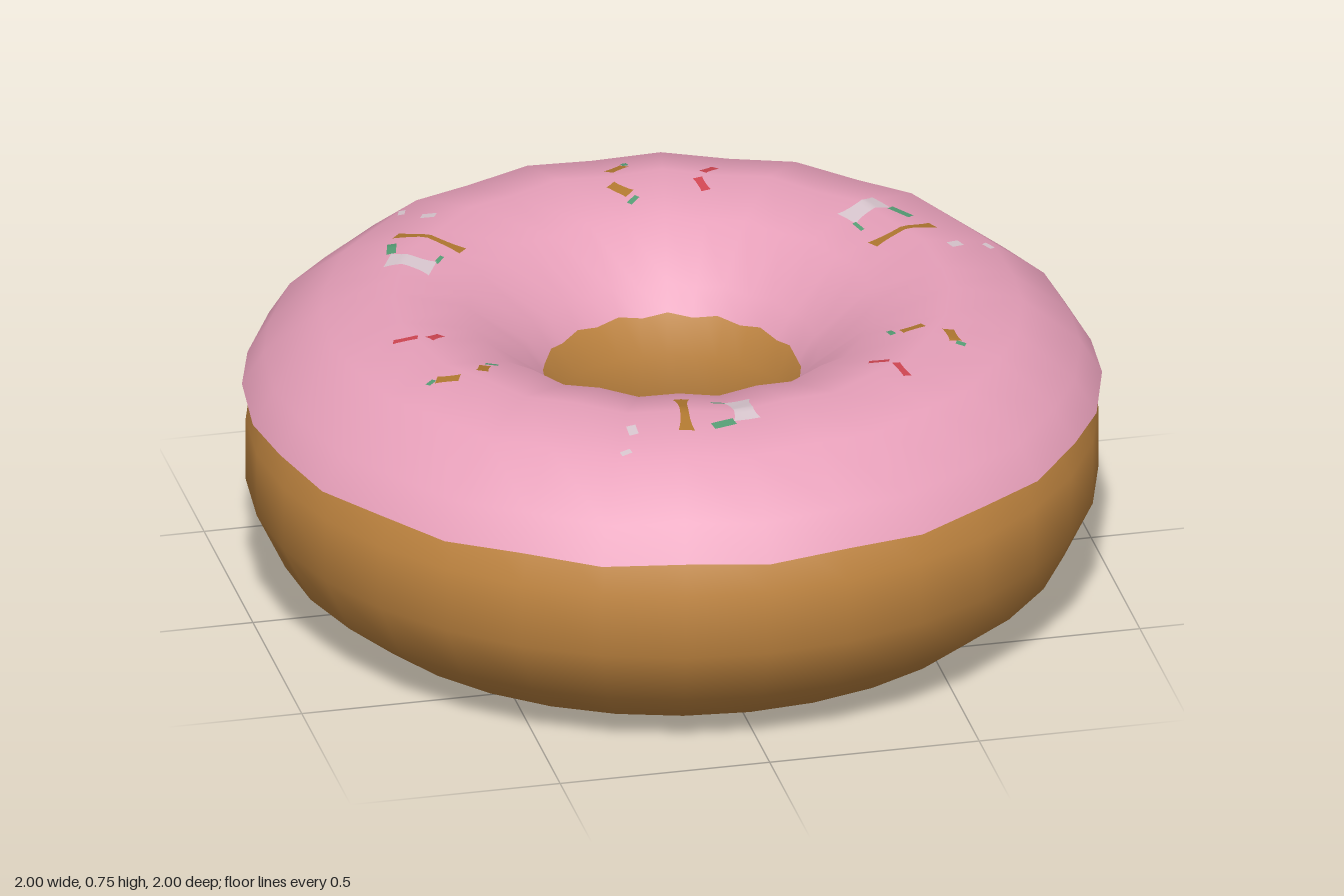
import * as THREE from 'three';

const SEG = 32;        // segments around the ring
const SIDES = 14;      // sides of the tube
const RING = 0.645;    // tube centre radius
const MID = 0.355;     // tube centre height
const STEP = (Math.PI * 2) / SEG;

const mat = (name, color, side = THREE.FrontSide) => {
  const m = new THREE.MeshStandardMaterial({ color, side });
  m.name = name;
  return m;
};

const ringPoint = (r, k) => {
  const a = Math.PI / 2 + (k * Math.PI * 2) / SIDES;
  return new THREE.Vector2(RING + r * Math.cos(a), MID + r * Math.sin(a));
};

// Icing cross-section from the outer rim over the top to the inner rim
const icingProfile = [
  new THREE.Vector2(1.0, 0.516),
  ...[-2, -1, 0, 1, 2].map((k) => ringPoint(0.389, k)),
  new THREE.Vector2(0.3, 0.54),
];

// Every second segment of the icing dips a little
const WAVE = 0.006;
function wavyLathe(points) {
  const geo = new THREE.LatheGeometry(points, SEG);
  const p = geo.attributes.position;
  for (let i = 0; i < p.count; i++) {
    const j = Math.floor(i / points.length);
    p.setY(i, p.getY(i) + (j % 2 ? WAVE : -WAVE));
  }
  return geo;
}

// Height of the icing surface at x, z
function icingHeight(x, z) {
  let a = Math.atan2(x, z) / STEP;
  if (a < 0) a += SEG;
  const j = Math.floor(a), f = a - j;
  const r = (Math.hypot(x, z) * Math.cos((f - 0.5) * STEP)) / Math.cos(STEP / 2);
  const wave = WAVE * (2 * f - 1) * (j % 2 ? -1 : 1);
  for (let i = 0; i < icingProfile.length - 1; i++) {
    const p = icingProfile[i], q = icingProfile[i + 1];
    if (r <= p.x && r >= q.x) return p.y + ((q.y - p.y) * (p.x - r)) / (p.x - q.x) + wave;
  }
  return MID;
}

// Thin strip draped on the icing; ends flare by the given amount
function sprinkle(x0, z0, x1, z1, width, flare, turn) {
  const N = 8, pos = [], idx = [];
  const len = Math.hypot(x1 - x0, z1 - z0);
  const nx = -(z1 - z0) / len, nz = (x1 - x0) / len;
  const c = Math.cos(turn), s = Math.sin(turn);
  for (let i = 0; i <= N; i++) {
    const t = i / N;
    const half = (width / 2) * (1 + flare * Math.pow(Math.abs(2 * t - 1), 3));
    for (const w of [-half, 0, half]) {
      const x = x0 + (x1 - x0) * t + nx * w, z = z0 + (z1 - z0) * t + nz * w;
      const rx = x * c + z * s, rz = z * c - x * s;
      pos.push(rx, icingHeight(rx, rz) + 0.004, rz);
    }
    if (i < N) for (const k of [0, 1]) {
      const a = i * 3 + k;
      idx.push(a, a + 1, a + 3, a + 1, a + 4, a + 3);
    }
  }
  const geo = new THREE.BufferGeometry();
  geo.setAttribute('position', new THREE.Float32BufferAttribute(pos, 3));
  geo.setIndex(idx);
  geo.computeVertexNormals();
  return geo;
}

export function createModel() {
  const model = new THREE.Group();
  model.name = 'ringCake';
  const add = (name, geo, material) => {
    const mesh = new THREE.Mesh(geo, material);
    mesh.name = name;
    model.add(mesh);
  };

  // Dough: a full ring, its seam hidden under the icing
  const doughProfile = Array.from({ length: SIDES + 1 }, (_, k) => ringPoint(0.355, k));
  add('dough', new THREE.LatheGeometry(doughProfile, SEG), mat('doughBrown', 0xc08540));

  // Icing cap and the underside of its overhang
  const pink = mat('icingPink', 0xe69fb9, THREE.DoubleSide);
  add('icing', wavyLathe(icingProfile), pink);
  add('icingLip', wavyLathe([new THREE.Vector2(0.93, 0.53), icingProfile[0]]), pink);

  // Sprinkles: one third of the ring, repeated three times
  const white = mat('sprinkleWhite', 0xd6c4cc, THREE.DoubleSide);
  const gold = mat('sprinkleGold', 0xb07830, THREE.DoubleSide);
  const green = mat('sprinkleGreen', 0x559c74, THREE.DoubleSide);
  const red = mat('sprinkleRed', 0xcf4652, THREE.DoubleSide);
  const list = [
    // material, start x z, end x z, width, flare
    [white, 0.02, 0.575, 0.02, 0.685, 0.045, 0.4],
    [white, -0.25, 0.65, -0.25, 0.685, 0.022, 0],
    [white, -0.295, 0.745, -0.27, 0.74, 0.016, 0],
    [gold, -0.105, 0.54, -0.13, 0.71, 0.02, 0.9],
    [green, -0.065, 0.7, -0.01, 0.685, 0.022, 0],
    [green, -0.04, 0.57, -0.005, 0.575, 0.01, 0],
    [gold, 0.475, 0.31, 0.53, 0.3, 0.025, 0.2],
    [gold, 0.58, 0.34, 0.585, 0.395, 0.025, 0.2],
    [green, 0.45, 0.285, 0.455, 0.315, 0.014, 0],
    [green, 0.585, 0.4, 0.605, 0.41, 0.014, 0],
    [red, 0.365, 0.45, 0.41, 0.465, 0.02, 0.2],
    [red, 0.42, 0.49, 0.435, 0.545, 0.018, 0.2],
  ];
  for (let n = 0; n < 3; n++) {
    for (const [material, ...shape] of list) {
      add('sprinkle', sprinkle(...shape, (n * Math.PI * 2) / 3), material);
    }
  }
  return model;
}
